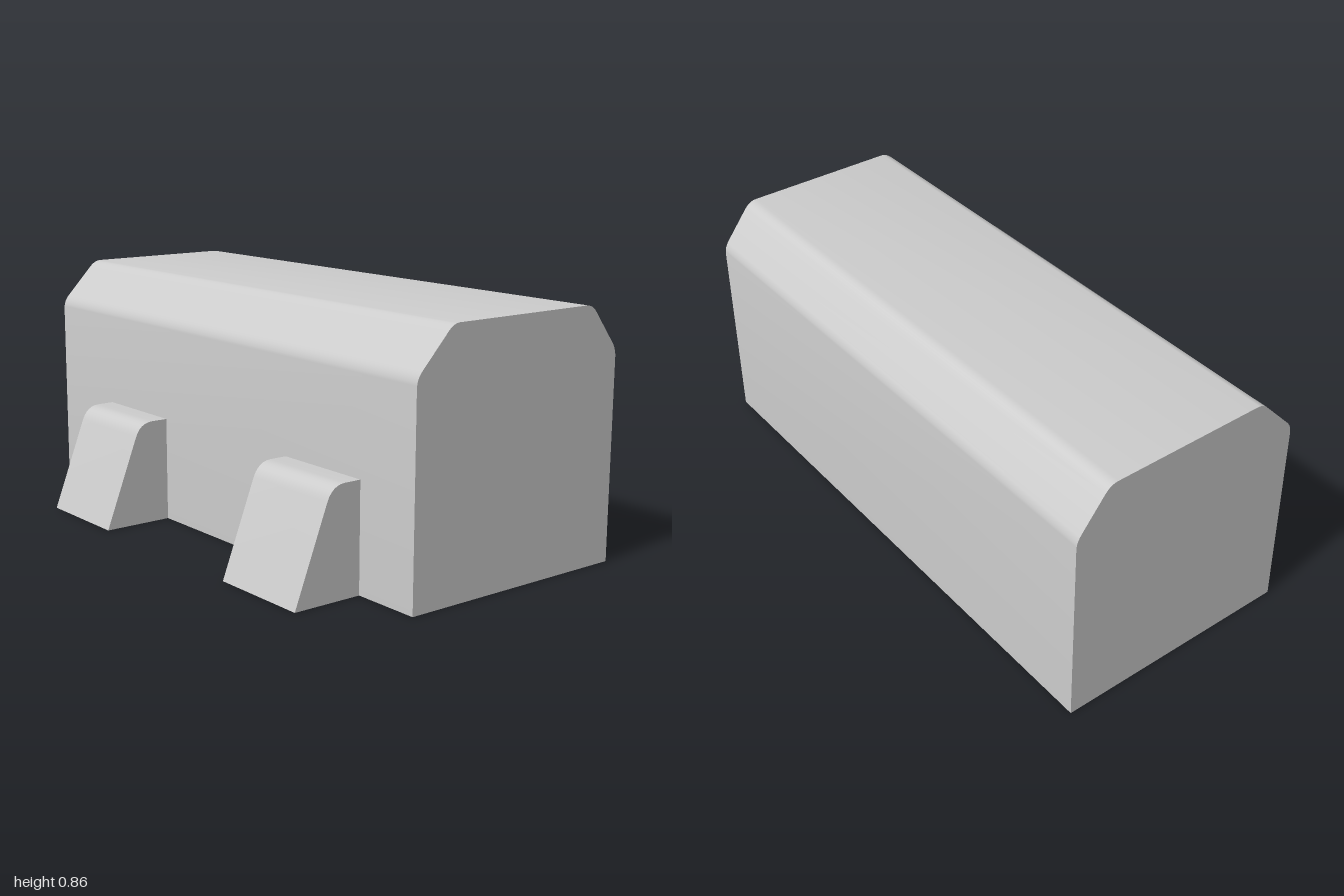
import * as THREE from 'three';
import { toCreasedNormals } from 'three/addons/utils/BufferGeometryUtils.js';

const material = new THREE.MeshStandardMaterial({ color: 0xcccccc });

// Extrudes a side profile along z between two depths, smooth over the rounded corners
function extrudeProfile(name, shape, zMin, zMax) {
  const geometry = new THREE.ExtrudeGeometry(shape, {
    depth: zMax - zMin, bevelEnabled: false, curveSegments: 6,
  });
  geometry.translate(0, 0, zMin);
  const mesh = new THREE.Mesh(toCreasedNormals(geometry, THREE.MathUtils.degToRad(40)), material);
  mesh.name = name;
  return mesh;
}

export function createModel() {
  const model = new THREE.Group();
  model.name = 'barrier';

  // Long block with chamfered, softly rounded upper edges
  const block = new THREE.Shape();
  block.moveTo(-0.305, 0);
  block.lineTo(0.552, 0);
  block.lineTo(0.552, 0.68);
  block.quadraticCurveTo(0.552, 0.706, 0.534, 0.729);
  block.lineTo(0.452, 0.833);
  block.quadraticCurveTo(0.433, 0.857, 0.405, 0.857);
  block.lineTo(-0.14, 0.857);
  block.quadraticCurveTo(-0.163, 0.857, -0.184, 0.836);
  block.lineTo(-0.285, 0.73);
  block.quadraticCurveTo(-0.305, 0.709, -0.305, 0.68);
  block.closePath();
  model.add(extrudeProfile('block', block, -1, 1));

  // Two sloped buttresses against the right side
  const buttress = new THREE.Shape();
  buttress.moveTo(-0.305, 0);
  buttress.lineTo(-0.305, 0.366);
  buttress.lineTo(-0.365, 0.366);
  buttress.quadraticCurveTo(-0.414, 0.366, -0.433, 0.317);
  buttress.lineTo(-0.555, 0);
  buttress.closePath();
  model.add(extrudeProfile('rearButtress', buttress, -0.66, -0.295));
  model.add(extrudeProfile('frontButtress', buttress, 0.395, 0.76));

  return model;
}
